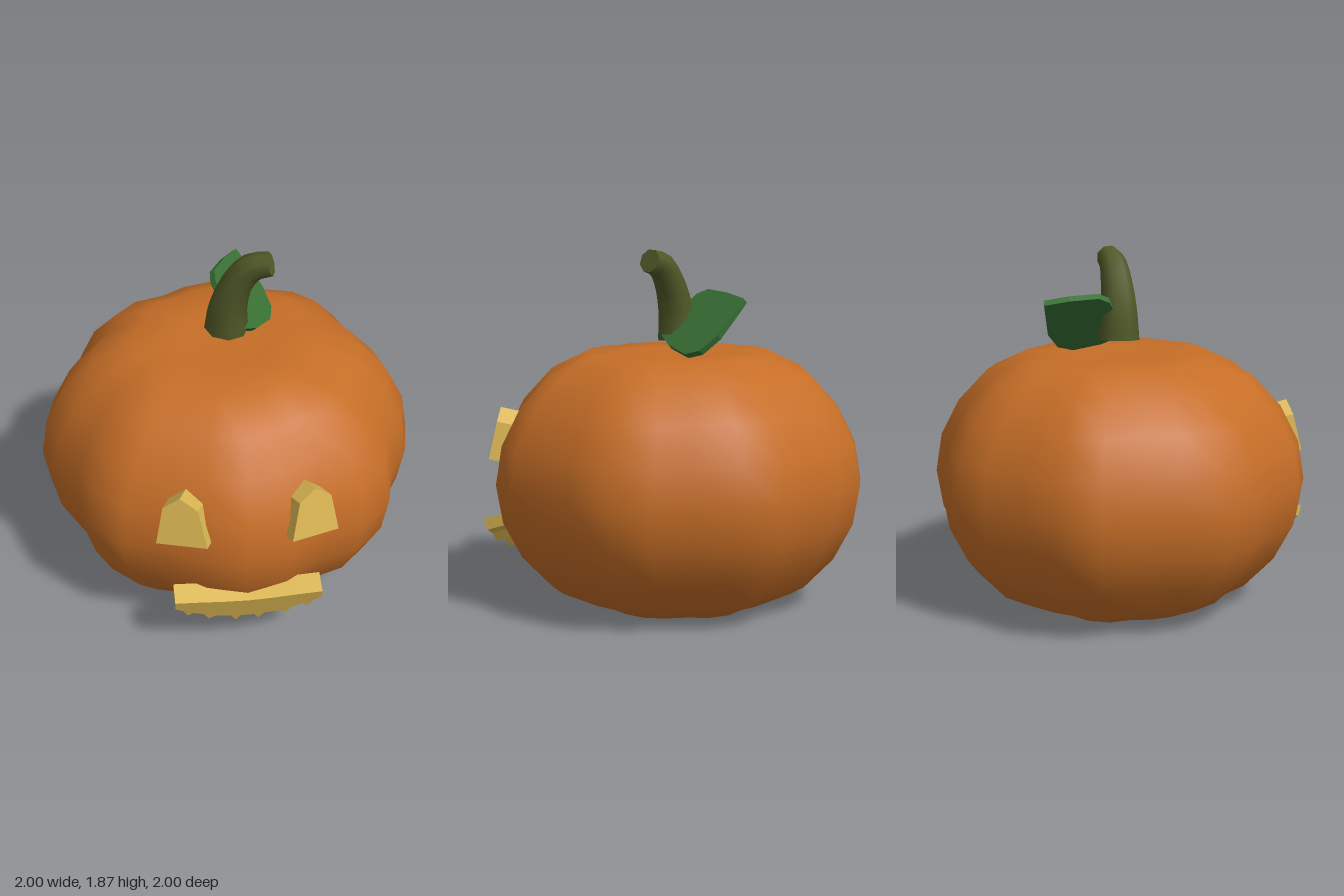
import * as THREE from 'three';
import { mergeVertices } from 'three/addons/utils/BufferGeometryUtils.js';

const paint = (name, color) => {
  const m = new THREE.MeshStandardMaterial({ color });
  m.name = name;
  return m;
};

const part = (name, geometry, material) => {
  const m = new THREE.Mesh(geometry, material);
  m.name = name;
  return m;
};

// Flat plate from an outline, its front face on local z = 0
const plate = (outline, depth) => {
  const shape = new THREE.Shape(outline.map(([x, y]) => new THREE.Vector2(x, y)));
  return new THREE.ExtrudeGeometry(shape, { depth, bevelEnabled: false }).translate(0, 0, -depth);
};

// Flattened sphere with eight soft ribs
function bodyGeometry() {
  const upper = [[1, 0], [0.966, 0.203], [0.866, 0.396], [0.707, 0.565], [0.5, 0.664], [0.259, 0.66], [0, 0.635]];
  const lower = upper.slice(1).reverse().map(([r, y]) => [r, -y]);
  const profile = [...lower, ...upper].map(([r, y]) => new THREE.Vector2(r, y + 0.667));
  let geo = new THREE.LatheGeometry(profile, 28);
  const ribs = [1, 0.975, 0.932, 0.996, 0.996, 0.932, 0.975];
  const pos = geo.attributes.position;
  for (let i = 0; i < pos.count; i++) {
    const k = ribs[Math.floor(i / profile.length) % 7];
    pos.setXYZ(i, pos.getX(i) * k, pos.getY(i), pos.getZ(i) * k);
  }
  geo.deleteAttribute('uv');
  geo.deleteAttribute('normal');
  geo = mergeVertices(geo, 1e-4);
  geo.computeVertexNormals();
  return geo;
}

// Tapering bent tube with flat end caps
function makeStem(material) {
  const stem = new THREE.Group();
  stem.name = 'stem';
  const curve = new THREE.CatmullRomCurve3([
    [0, 1.405, 0], [0.008, 1.54, 0.008], [0.05, 1.68, 0.025], [0.125, 1.79, 0.05], [0.215, 1.82, 0.078],
  ].map((p) => new THREE.Vector3(...p)));
  const rings = 10, sides = 8;
  const geo = new THREE.TubeGeometry(curve, rings, 1, sides);
  const pos = geo.attributes.position;
  const v = new THREE.Vector3();
  for (let i = 0; i < pos.count; i++) {
    const t = Math.floor(i / (sides + 1)) / rings;
    const centre = curve.getPointAt(t);
    v.fromBufferAttribute(pos, i).sub(centre).multiplyScalar(0.115 - 0.052 * t).add(centre);
    pos.setXYZ(i, v.x, v.y, v.z);
  }
  stem.add(part('stemSide', geo, material));

  for (const [name, ring] of [['stemBase', 0], ['stemTip', rings]]) {
    const centre = curve.getPointAt(ring / rings);
    const at = (j) => new THREE.Vector3().fromBufferAttribute(pos, ring * (sides + 1) + j);
    const points = [];
    for (let j = 0; j < sides; j++) {
      points.push(centre, ...(ring ? [at(j + 1), at(j)] : [at(j), at(j + 1)]));
    }
    const cap = new THREE.BufferGeometry().setFromPoints(points);
    cap.computeVertexNormals();
    stem.add(part(name, cap, material));
  }
  return stem;
}

export function createModel() {
  const orange = paint('pumpkin orange', 0xc66e27);
  const green = paint('stem olive', 0x525a28);
  const leafGreen = paint('leaf green', 0x387034);
  const yellow = paint('glow yellow', 0xdab653);

  const model = new THREE.Group();
  model.name = 'pumpkin';
  model.add(part('body', bodyGeometry(), orange), makeStem(green));

  // Leaf: a sloping plate growing out of the stem
  const leafOutline = [
    [0, 0], [0.13, 0.03], [0.28, 0.045], [0.34, 0.01], [0.41, -0.15], [0.42, -0.27],
    [0.33, -0.33], [0.18, -0.375], [0.095, -0.345], [0.035, -0.24], [0.005, -0.05],
  ];
  // Outline runs along u and up w; mirrored in u so the face looks outward
  const leaf = part('leaf', plate(leafOutline.map(([u, w]) => [-u, w]), 0.035), leafGreen);
  const xAxis = new THREE.Vector3(0.41, 0, -0.91).normalize();
  const yAxis = new THREE.Vector3(-0.6, 0.75, -0.27).normalize();
  const zAxis = xAxis.clone().cross(yAxis).normalize();
  leaf.quaternion.setFromRotationMatrix(new THREE.Matrix4().makeBasis(xAxis, yAxis, zAxis));
  leaf.position.set(0.1, 1.63, -0.395);
  model.add(leaf);

  // Eyes: thick five-sided blocks turned outward and tipped back
  const eyeGeo = plate([[-0.132, 0], [0.132, 0], [0.09, 0.2], [0, 0.26], [-0.09, 0.2]], 0.11);
  for (const side of [-1, 1]) {
    const eye = part(side > 0 ? 'leftEye' : 'rightEye', eyeGeo, yellow);
    eye.position.set(side * 0.333, 0.78, 0.952);
    eye.rotation.set(-0.24, side * 0.38, 0);
    model.add(eye);
  }

  // Mouth: a grin with a toothed lower edge, mirrored from one half
  const half = [
    [0.035, -0.195], [0.06, -0.238], [0.085, -0.19], [0.165, -0.174], [0.2, -0.2], [0.23, -0.143],
    [0.28, -0.122], [0.31, -0.143], [0.335, -0.09], [0.375, -0.063], [0.375, 0],
    [0.25, -0.01], [0.12, -0.025],
  ];
  const mirrored = half.map(([x, y]) => [-x, y]).reverse();
  const mouth = part('mouth', plate([...half, [0, -0.032], ...mirrored], 0.11), yellow);
  mouth.position.set(0, 0.42, 0.985);
  mouth.rotation.x = 0.32;
  model.add(mouth);

  return model;
}
